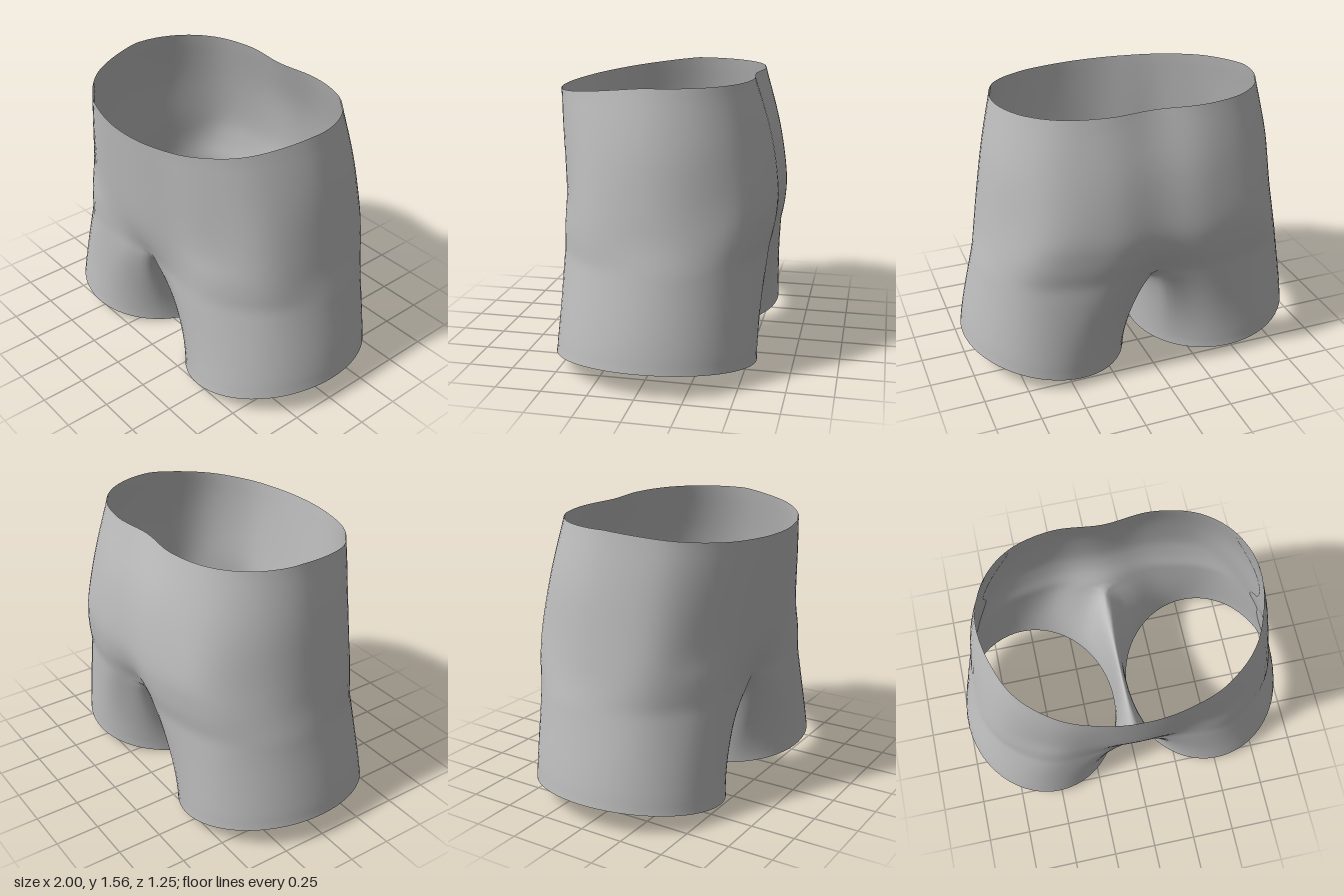
import * as THREE from 'three';
import { mergeVertices } from 'three/addons/utils/BufferGeometryUtils.js';

const V = (x, y, z) => new THREE.Vector3(x, y, z);
const N = 48;        // columns from centre front, round the hip, to centre back
const M = 22;        // columns along the crotch seam, back to front
const TORSO_ROWS = 26, LEG_ROWS = 22;

// Half cross-sections [x, z] from centre front, round the side, to centre back
const sections = [
  { y: 1.56, p: [[0, .62], [.22, .595], [.45, .51], [.65, .32], [.747, 0], [.69, -.25], [.52, -.42], [.27, -.487], [0, -.465]] },
  { y: 1.25, p: [[0, .597], [.24, .57], [.48, .5], [.71, .31], [.81, 0], [.76, -.27], [.58, -.48], [.28, -.573], [0, -.565]] },
  { y: 0.96, p: [[0, .565], [.25, .54], [.5, .49], [.76, .31], [.85, 0], [.8, -.28], [.61, -.53], [.29, -.619], [0, -.61]] },
  { y: 0.79, p: [[0, .53], [.25, .52], [.53, .495], [.79, .3], [.873, 0], [.83, -.28], [.65, -.52], [.3, -.617], [0, -.595]] },
  { y: 0.64, p: [[0, .475], [.22, .5], [.53, .5], [.8, .3], [.903, 0], [.86, -.28], [.67, -.5], [.3, -.592], [0, -.53]] },
];

// The waist edge dips towards the front
const waistY = z => 1.56 - 0.075 * Math.pow(Math.max(0, z / 0.62), 1.1);

// Mirror a half section into a closed curve, then sample its first half
function sampleSection({ y, p }, isWaist) {
  const half = p.map(([x, z]) => V(x, y, z));
  const other = p.slice(1, -1).reverse().map(([x, z]) => V(-x, y, z));
  const curve = new THREE.CatmullRomCurve3([...half, ...other], true, 'catmullrom', 0.5);
  return Array.from({ length: N + 1 }, (_, i) => {
    const q = curve.getPoint(i / N / 2);
    if (i === 0 || i === N) q.x = 0;
    if (isWaist) q.y = waistY(q.z);
    return q;
  });
}

// Elliptical leg opening, angle measured from the front towards the outside
const oval = (deg, cx, rx, cz, rz) => {
  const a = THREE.MathUtils.degToRad(deg);
  return V(cx + rx * Math.sin(a), 0, cz + rz * Math.cos(a));
};
const hemY = x => 0.14 * Math.pow(Math.max(0, (x - 0.05) / 0.95), 1.12);

// One leg column from the hip or crotch seam down to the hem
function legColumn(top, deg, w) {
  const hem = oval(deg, .525, .475, -.01, .555);
  hem.y = hemY(hem.x);
  const low = oval(deg, .508, .465, -.02, .543);
  low.y = hem.y + 0.2;
  const straight = top.clone().lerp(hem, 0.33);
  const across = V(top.x + hem.x * 0.6, top.y, top.z);
  return new THREE.CubicBezierCurve3(top, straight.lerp(across, w), low, hem);
}

// Points and faces of the +x half
function halfGrids() {
  const rings = sections.map((s, i) => sampleSection(s, i === 0));
  const torso = [], leg = [];
  for (let i = 0; i <= N; i++) {
    const c = new THREE.CatmullRomCurve3(rings.map(r => r[i]), false, 'catmullrom', 0.5);
    torso.push(c.getPoints(TORSO_ROWS));
  }
  const hip = rings[rings.length - 1];
  for (let i = 0; i <= N; i++) {
    const u = 8 * i / N, d = Math.min(u, 8 - u);
    const w = Math.max(0, 0.6 * (1 - d / 1.2));
    leg.push(legColumn(hip[i], -50 + 35 * u, w).getPoints(LEG_ROWS));
  }
  for (let j = 1; j < M; j++) {
    const t = j / M, s = Math.abs(2 * t - 1);
    const seam = V(0, 0.64 - 0.172 * (1 - Math.pow(s, 2.8)), THREE.MathUtils.lerp(-.53, .475, t));
    const w = Math.min(1, 0.6 + 4 * Math.min(t, 1 - t));
    leg.push(legColumn(seam, 230 + 80 * t, w).getPoints(LEG_ROWS));
  }
  leg.push(leg[0]);
  return [torso, leg];
}

// Relax interior vertices without shrinking; open edges stay put
function smooth(geo, rounds) {
  const pos = geo.attributes.position, idx = geo.index.array;
  const near = Array.from({ length: pos.count }, () => new Map());
  const link = (a, b) => near[a].set(b, (near[a].get(b) || 0) + 1);
  for (let i = 0; i < idx.length; i += 3) {
    for (let k = 0; k < 3; k++) {
      const a = idx[i + k], b = idx[i + (k + 1) % 3];
      link(a, b);
      link(b, a);
    }
  }
  const fixed = near.map(m => [...m.values()].some(n => n === 1));
  let pts = near.map((_, i) => V().fromBufferAttribute(pos, i));
  for (let r = 0; r < rounds * 2; r++) {
    const k = r % 2 ? -0.52 : 0.5;
    pts = pts.map((p, i) => {
      if (fixed[i]) return p;
      const mean = V(0, 0, 0);
      for (const j of near[i].keys()) mean.add(pts[j]);
      return p.clone().lerp(mean.divideScalar(near[i].size), k);
    });
  }
  pts.forEach((p, i) => pos.setXYZ(i, p.x, p.y, p.z));
}

function shortsGeometry() {
  const out = [];
  const tri = (a, b, c) => {
    for (const p of [a, b, c]) out.push(p.x, p.y, p.z);
    for (const p of [a, c, b]) out.push(-p.x, p.y, p.z);   // mirrored half
  };
  for (const grid of halfGrids()) {
    for (let c = 0; c < grid.length - 1; c++) {
      for (let r = 0; r < grid[c].length - 1; r++) {
        const a = grid[c][r], b = grid[c + 1][r], d = grid[c][r + 1], e = grid[c + 1][r + 1];
        tri(a, d, b);
        tri(b, d, e);
      }
    }
  }
  let geo = new THREE.BufferGeometry();
  geo.setAttribute('position', new THREE.Float32BufferAttribute(out, 3));
  geo = mergeVertices(geo, 1e-4);
  smooth(geo, 12);
  geo.computeVertexNormals();
  return geo;
}

export function createModel() {
  const group = new THREE.Group();
  group.name = 'shorts';
  const fabric = new THREE.MeshStandardMaterial({ color: 0xbcbcbc, side: THREE.DoubleSide });
  fabric.name = 'grey fabric';
  const shell = new THREE.Mesh(shortsGeometry(), fabric);
  shell.name = 'shortsShell';
  group.add(shell);
  return group;
}
